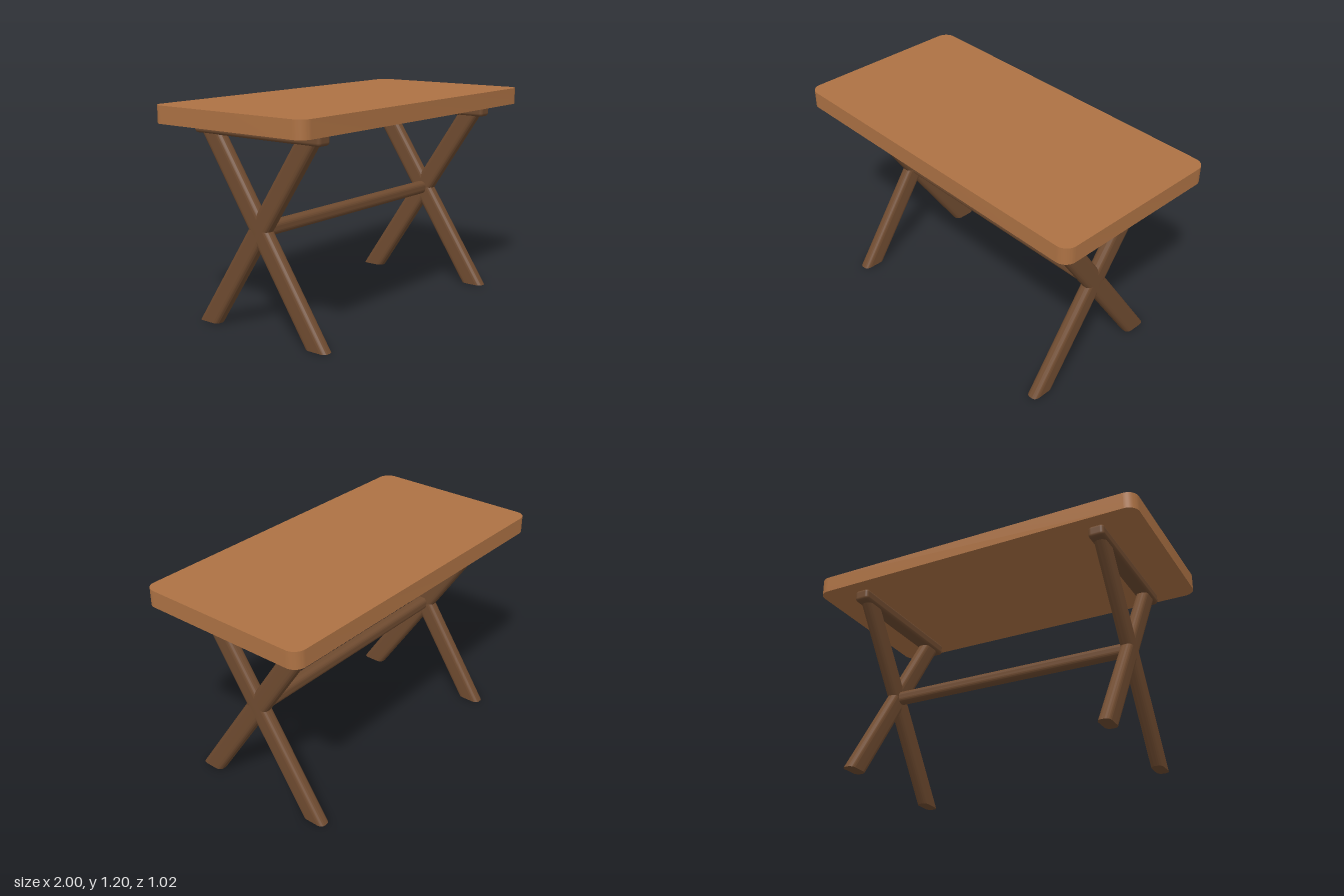
import * as THREE from 'three';
import { toCreasedNormals } from 'three/addons/utils/BufferGeometryUtils.js';
import { RoundedBoxGeometry } from 'three/addons/geometries/RoundedBoxGeometry.js';

// Rounded rectangle prism, w by d in plan, standing on y = 0 with height h
function roundedPrism(w, d, h, rx, rz = rx) {
  const x = w / 2, z = d / 2, s = new THREE.Shape();
  const q = Math.PI / 2;
  s.moveTo(x, -z + rz);
  s.lineTo(x, z - rz);
  s.absellipse(x - rx, z - rz, rx, rz, 0, q);
  s.absellipse(-x + rx, z - rz, rx, rz, q, 2 * q);
  s.absellipse(-x + rx, -z + rz, rx, rz, 2 * q, 3 * q);
  s.absellipse(x - rx, -z + rz, rx, rz, 3 * q, 4 * q);
  return new THREE.ExtrudeGeometry(s, { depth: h, bevelEnabled: false, curveSegments: 8 })
    .rotateX(-Math.PI / 2);
}

export function createModel() {
  const model = new THREE.Group();
  model.name = 'trestleTable';

  const topWood = new THREE.MeshStandardMaterial({ color: 0xad7244 });
  topWood.name = 'light wood';
  const frameWood = new THREE.MeshStandardMaterial({ color: 0x6f4b30 });
  frameWood.name = 'dark wood';

  const add = (parent, name, geometry, material, x = 0, y = 0, z = 0) => {
    const mesh = new THREE.Mesh(geometry, material);
    mesh.name = name;
    mesh.position.set(x, y, z);
    parent.add(mesh);
    return mesh;
  };

  // Tabletop with rounded corners in plan
  add(model, 'tabletop', toCreasedNormals(roundedPrism(2, 1.022, 0.095, 0.065), 0.6), topWood, 0, 1.105, 0);

  // Slanted leg: a prism sheared along z so both ends stay level
  const legHeight = 1.06, slope = 0.67;
  const legGeometry = (dir) => {
    const g = roundedPrism(0.07, 0.14, legHeight, 0.027, 0.033);
    g.applyMatrix4(new THREE.Matrix4().set(
      1, 0, 0, 0,
      0, 1, 0, 0,
      0, -dir * slope, 1, dir * 0.38,
      0, 0, 0, 1));
    return toCreasedNormals(g, 0.6);
  };

  // One crossed trestle at each end
  for (const side of [-1, 1]) {
    const trestle = new THREE.Group();
    trestle.name = side > 0 ? 'leftTrestle' : 'rightTrestle';
    trestle.position.x = side * 0.745;
    model.add(trestle);
    add(trestle, 'frontFootLeg', legGeometry(1), frameWood);
    add(trestle, 'backFootLeg', legGeometry(-1), frameWood);
    add(trestle, 'topRail', new RoundedBoxGeometry(0.09, 0.07, 0.864, 4, 0.02), frameWood, 0, 1.076, 0);
  }

  // Stretcher joining the two crossings
  const bar = roundedPrism(0.076, 0.07, 1.44, 0.028).rotateZ(-Math.PI / 2);
  add(model, 'stretcher', toCreasedNormals(bar, 0.6), frameWood, -0.72, 0.566, 0);

  return model;
}
